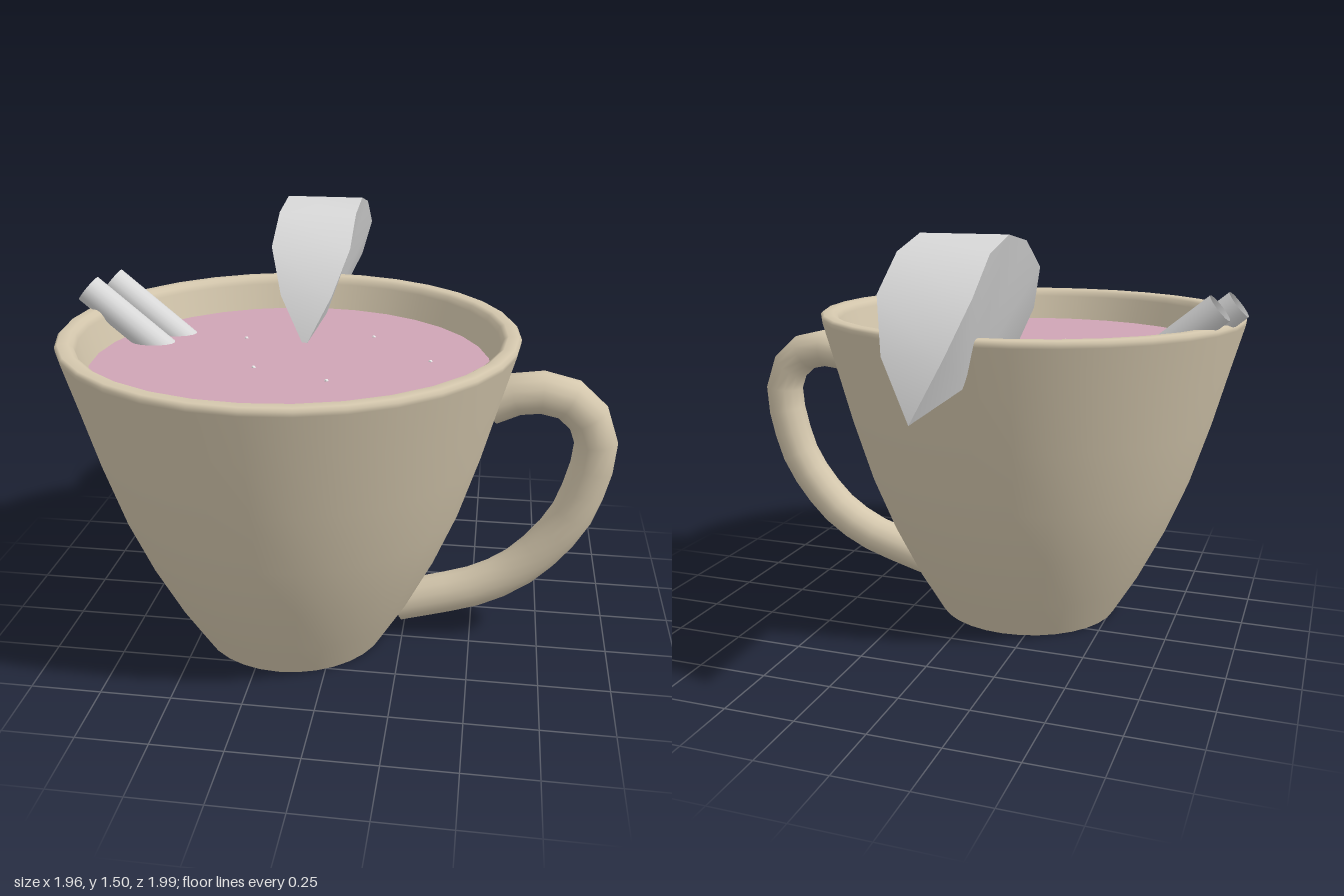
import * as THREE from 'three';

const CX = -0.165, CZ = 0.2; // cup axis

function material(name, color, side = THREE.FrontSide) {
  const m = new THREE.MeshStandardMaterial({ color, side });
  m.name = name;
  return m;
}

function add(parent, name, geometry, mat, x = 0, y = 0, z = 0) {
  const mesh = new THREE.Mesh(geometry, mat);
  mesh.name = name;
  mesh.position.set(x, y, z);
  parent.add(mesh);
  return mesh;
}

// Wedge: a half-round rind strip, tapering to both tips, with two cheeks meeting at the straight edge
function wedgeGeometry(radius, width, tilt) {
  const steps = 8, pos = [], index = [];
  const point = (i, side) => {
    const t = (i / steps) * Math.PI + tilt;
    const end = Math.min(i, steps - i);
    const half = (end === 0 ? 0 : end === 1 ? 0.64 : 1) * width / 2;
    return [side * half, radius * Math.sin(t), -radius * Math.cos(t)];
  };
  for (let i = 0; i <= steps; i++) pos.push(...point(i, -1), ...point(i, 1));
  for (let i = 0; i < steps; i++) {
    const a = i * 2;
    index.push(a, a + 2, a + 3, a, a + 3, a + 1);
  }
  for (const side of [-1, 1]) {
    const c = pos.length / 3;
    pos.push(0, 0, 0);
    for (let i = 0; i <= steps; i++) pos.push(...point(i, side));
    for (let i = 1; i <= steps; i++) {
      if (side > 0) index.push(c, c + i, c + i + 1);
      else index.push(c, c + i + 1, c + i);
    }
  }
  const g = new THREE.BufferGeometry();
  g.setAttribute('position', new THREE.Float32BufferAttribute(pos, 3));
  g.setIndex(index);
  g.computeVertexNormals();
  return g;
}

export function createModel() {
  const model = new THREE.Group();
  model.name = 'drinkCup';
  const ceramic = material('ceramic', 0xd4c7ad);
  const drinkPink = material('drinkPink', 0xcfa4b5);
  const grey = material('grey', 0xd8d8d8);
  const strawGrey = material('strawGrey', 0xd8d8d8, THREE.DoubleSide);
  const white = material('white', 0xf0f0f0);

  // Cup wall: outside, rounded lip, inside and floor
  const profile = [
    [0.345, 0], [0.435, 0.15], [0.535, 0.35], [0.617, 0.55], [0.69, 0.78],
    [0.745, 0.98], [0.793, 1.15], [0.795, 1.165], [0.785, 1.175], [0.75, 1.175],
    [0.735, 1.165], [0.727, 1.145], [0.685, 0.98], [0.63, 0.78], [0.475, 0.35],
    [0.36, 0.12], [0.33, 0.08], [0, 0.08],
  ].map(([r, y]) => new THREE.Vector2(r, y));
  add(model, 'cupWall', new THREE.LatheGeometry(profile, 32), ceramic, CX, 0, CZ);
  add(model, 'cupBase', new THREE.CircleGeometry(0.345, 32).rotateX(Math.PI / 2), ceramic, CX, 0, CZ);

  // Handle
  const path = [
    [0.53, 0.93], [0.58, 0.955], [0.66, 0.98], [0.78, 0.97], [0.855, 0.92], [0.895, 0.85],
    [0.905, 0.78], [0.88, 0.645], [0.835, 0.515], [0.75, 0.39], [0.65, 0.29],
    [0.51, 0.21], [0.37, 0.165], [0.23, 0.125],
  ].map(([x, y]) => new THREE.Vector3(x, y, CZ));
  add(model, 'handle', new THREE.TubeGeometry(new THREE.CatmullRomCurve3(path), 16, 0.075, 14), ceramic);

  // Drink surface and tiny bubbles
  add(model, 'drink', new THREE.CircleGeometry(0.7, 32).rotateX(-Math.PI / 2), drinkPink, CX, 1.05, CZ);
  for (const [x, z] of [[-0.38, -0.05], [0.09, -0.13], [0.32, 0.13], [-0.28, 0.28], [-0.01, 0.38]]) {
    add(model, 'bubble', new THREE.IcosahedronGeometry(0.008, 0), white, x, 1.05, z);
  }

  // Two hollow straws leaning over the rim
  const length = 0.7, dir = new THREE.Vector3(-0.77, 0.64, 0).normalize();
  for (const [x, z] of [[-0.947, 0.035], [-0.898, -0.088]]) {
    const straw = add(model, 'straw', new THREE.CylinderGeometry(0.054, 0.054, length, 16, 1, true), strawGrey);
    straw.quaternion.setFromUnitVectors(new THREE.Vector3(0, 1, 0), dir);
    straw.position.set(x, 1.243, z).addScaledVector(dir, -length / 2);
  }

  // Fruit wedge resting across the rim
  add(model, 'fruitWedge', wedgeGeometry(0.49, 0.295, -0.045), grey, -0.155, 1.008, -0.51);
  return model;
}
